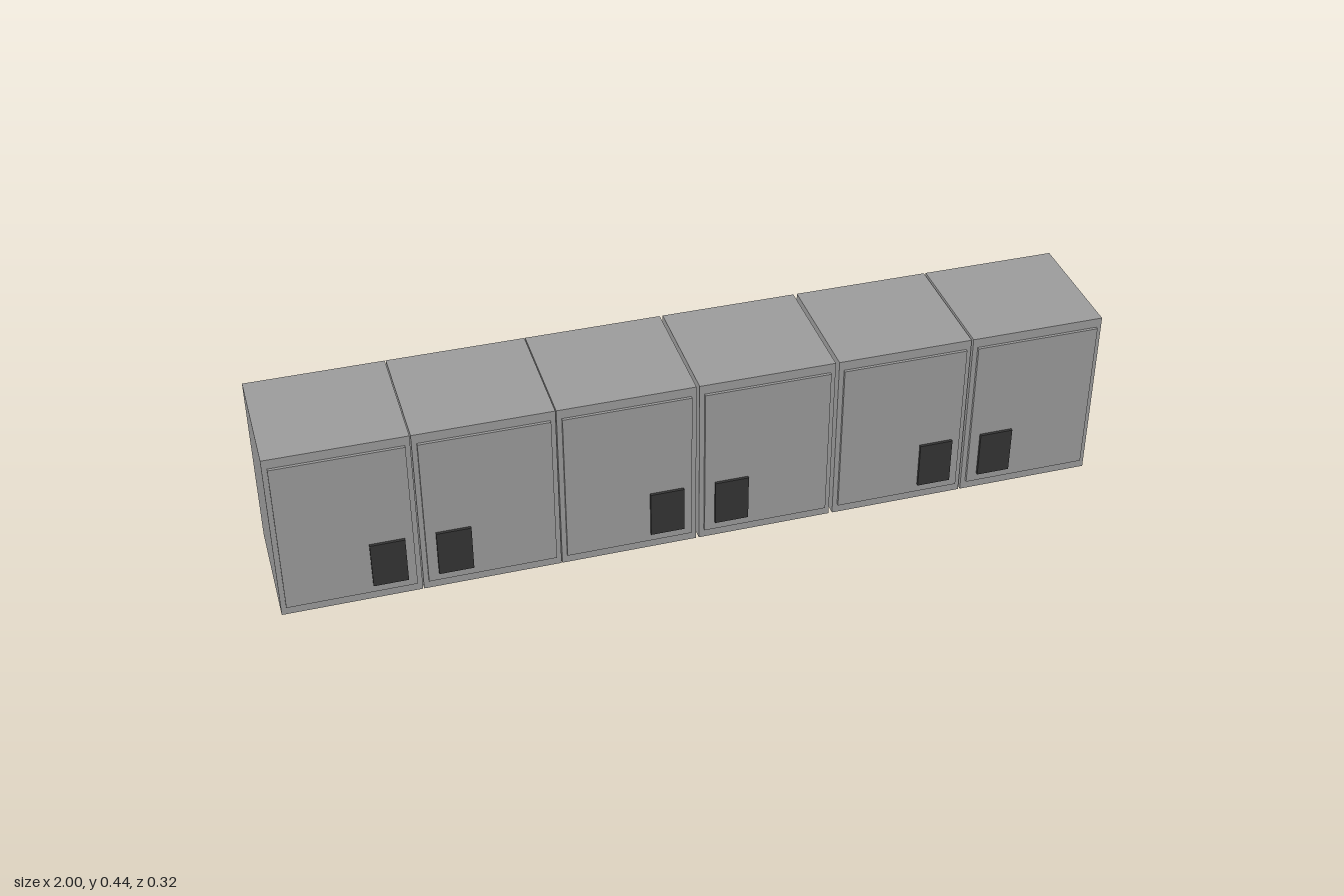
import * as THREE from 'three';

const H = 0.442, BACK = -0.16, FRONT = 0.146, DOOR = 0.153, HANDLE = 0.16;

// Box given by its extents
function slab(name, material, x0, x1, y0, y1, z0, z1) {
  const mesh = new THREE.Mesh(new THREE.BoxGeometry(x1 - x0, y1 - y0, z1 - z0), material);
  mesh.position.set((x0 + x1) / 2, (y0 + y1) / 2, (z0 + z1) / 2);
  mesh.name = name;
  return mesh;
}

export function createModel() {
  const grey = new THREE.MeshStandardMaterial({ color: 0x9c9c9c });
  grey.name = 'cabinetGrey';
  const dark = new THREE.MeshStandardMaterial({ color: 0x353535 });
  dark.name = 'handleDark';

  const model = new THREE.Group();
  model.name = 'wallCabinets';

  // Row of six cabinets with narrow gaps; handles meet in pairs
  const width = 0.329;
  const centres = [-0.8355, -0.504, -0.173, 0.1635, 0.5015, 0.8355];
  centres.forEach((x, i) => {
    const cabinet = new THREE.Group();
    cabinet.name = `cabinet${i + 1}`;
    cabinet.position.x = x;
    const w = width / 2, door = w - 0.012;
    const hx = i % 2 ? -0.087 : 0.091;
    cabinet.add(
      slab('carcass', grey, -w, w, 0, H, BACK, FRONT),
      slab('door', grey, -door, door, 0.024, 0.418, FRONT, DOOR),
      slab('handle', dark, hx - 0.041, hx + 0.041, 0.046, 0.164, DOOR, HANDLE),
    );
    model.add(cabinet);
  });
  return model;
}
